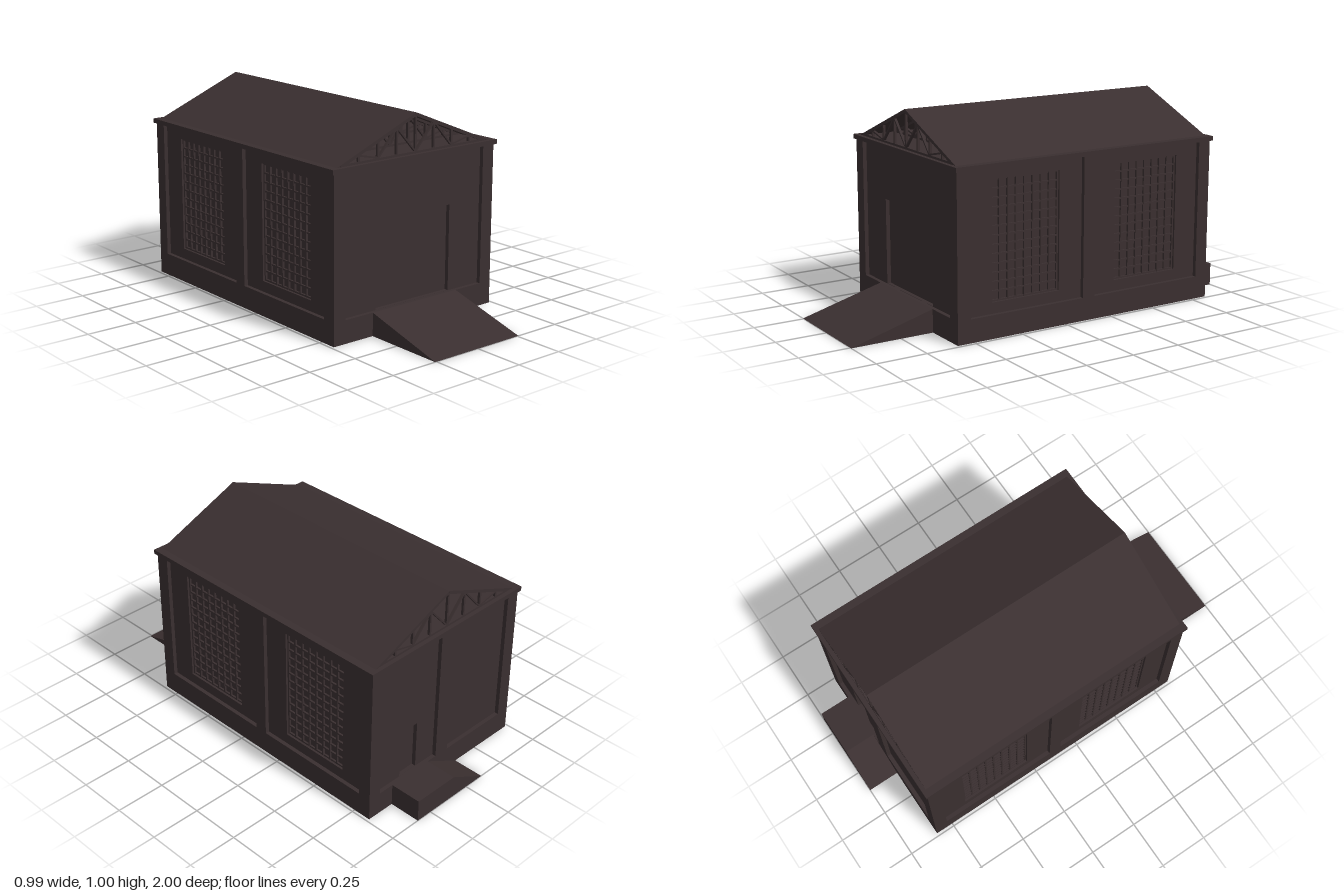
import * as THREE from 'three';

const wallMat = new THREE.MeshStandardMaterial({ color: 0x3a2f30, side: THREE.DoubleSide });
wallMat.name = 'dark brown';

const BASE = 0.112, EAVE = 0.79, HALF_X = 0.485, Z0 = -0.84, Z1 = 0.585;
const MID_Z = (Z0 + Z1) / 2, LEN = Z1 - Z0, INSET = 0.02;

function add(parent, name, geo) {
  const m = new THREE.Mesh(geo, wallMat);
  m.name = name;
  parent.add(m);
  return m;
}

// box given by its min and max corners
function box(parent, name, [x0, y0, z0], [x1, y1, z1]) {
  const geo = new THREE.BoxGeometry(x1 - x0, y1 - y0, z1 - z0);
  geo.translate((x0 + x1) / 2, (y0 + y1) / 2, (z0 + z1) / 2);
  return add(parent, name, geo);
}

function polygon(points) {
  return new THREE.Shape(points.map(([x, y]) => new THREE.Vector2(x, y)));
}

const rect = (x0, y0, x1, y1) => [[x0, y0], [x1, y0], [x1, y1], [x0, y1]];

function extrude(shape, depth) {
  return new THREE.ExtrudeGeometry(shape, { depth, bevelEnabled: false });
}

// drop the faces that point straight down, leaving a hollow shell
function openBottom(geo) {
  const flat = geo.index ? geo.toNonIndexed() : geo;
  const p = flat.attributes.position, n = flat.attributes.normal, keep = [];
  for (let i = 0; i < p.count; i += 3) if (n.getY(i) > -0.9) keep.push(i, i + 1, i + 2);
  flat.clearGroups();
  flat.setIndex(keep);
  return flat;
}

// recessed wall between piers, with openings backed by a sheet; local face at z = 0
function wall(name, x0, x1, openings) {
  const g = new THREE.Group();
  g.name = name;
  const shape = polygon(rect(x0, BASE, x1, EAVE));
  for (const o of openings) {
    const [a, b, c, d] = o.rect;
    shape.holes.push(polygon(rect(a, b, c, d).reverse()));
    box(g, o.name, [a, b, -2 * INSET - 0.004], [c, d, -2 * INSET]);
    if (o.name === 'windowPane') windowBars(g, a, b, c, d);
  }
  const panel = add(g, 'wallPanel', extrude(shape, INSET));
  panel.position.z = -2 * INSET;
  return g;
}

// glazing grid
function windowBars(g, x0, y0, x1, y1, cols = 8, rows = 13) {
  const t = 0.004, zb = -2 * INSET, zf = zb + 0.01;
  for (let i = 0; i <= cols; i++) {
    const x = THREE.MathUtils.lerp(x0 + t, x1 - t, i / cols);
    box(g, 'windowBarVertical', [x - t, y0, zb], [x + t, y1, zf]);
  }
  for (let j = 0; j <= rows; j++) {
    const y = THREE.MathUtils.lerp(y0 + t, y1 - t, j / rows);
    box(g, 'windowBarHorizontal', [x0, y - t, zb], [x1, y + t, zf - 0.001]);
  }
}

// straight truss member between two points
function member(g, name, [ax, ay], [bx, by], w) {
  const m = add(g, name, new THREE.BoxGeometry(Math.hypot(bx - ax, by - ay), w, 0.012));
  m.position.set((ax + bx) / 2, (ay + by) / 2, 0);
  m.rotation.z = Math.atan2(by - ay, bx - ax);
}

function truss() {
  const g = new THREE.Group();
  g.name = 'roofTruss';
  const top = x => 0.99 - Math.abs(x) * 0.409, low = 0.82;
  member(g, 'bottomChord', [-0.43, 0.817], [0.43, 0.817], 0.01);
  member(g, 'kingPost', [0, low], [0, top(0)], 0.01);
  for (const s of [-1, 1]) {
    member(g, 'topChord', [0, top(0)], [s * 0.435, top(0.435)], 0.013);
    for (const x of [0.112, 0.223, 0.335]) member(g, 'post', [s * x, low], [s * x, top(x)], 0.01);
    member(g, 'brace', [0, low], [s * 0.112, top(0.112)], 0.008);
    member(g, 'brace', [s * 0.223, low], [s * 0.112, top(0.112)], 0.008);
    member(g, 'brace', [s * 0.223, low + 0.003], [s * 0.335, top(0.335) - 0.004], 0.008);
  }
  return g;
}

export function createModel() {
  const model = new THREE.Group();
  model.name = 'warehouse';

  // hollow base whose top is the floor
  const base = add(model, 'base', openBottom(new THREE.BoxGeometry(2 * HALF_X, BASE, LEN)));
  base.position.set(0, BASE / 2, MID_Z);

  // piers
  for (const s of [-1, 1]) {
    const [xa, xb] = s > 0 ? [0.418, HALF_X] : [-HALF_X, -0.418];
    box(model, 'cornerPier', [xa, BASE, 0.517], [xb, EAVE, Z1]);
    box(model, 'cornerPier', [xa, BASE, Z0], [xb, EAVE, -0.775]);
    box(model, 'sidePier', [xa, BASE, -0.16], [xb, EAVE, -0.095]);
  }
  box(model, 'backPier', [-0.04, BASE, Z0], [0.04, EAVE, Z0 + 0.05]);

  // front and back walls
  const front = wall('frontWall', -0.418, 0.418,
    [{ name: 'largeDoor', rect: [-0.225, BASE + 0.001, 0.225, 0.533] }]);
  front.position.z = Z1;
  const back = wall('backWall', -0.418, 0.418,
    [{ name: 'smallDoor', rect: [-0.268, BASE + 0.001, -0.16, 0.36] }]);
  back.position.z = Z0;
  back.rotation.y = Math.PI;
  model.add(front, back);

  // side walls with two windows each
  for (const s of [-1, 1]) {
    const spans = [[0.03, 0.395], [-0.65, -0.285]].map(([a, b]) => (s > 0 ? [-b, -a] : [a, b]));
    const [a, b] = s > 0 ? [-0.517, 0.775] : [-0.775, 0.517];
    const side = wall(s > 0 ? 'leftWall' : 'rightWall', a, b,
      spans.map(([p, q]) => ({ name: 'windowPane', rect: [p, 0.165, q, 0.735] })));
    side.position.x = s * HALF_X;
    side.rotation.y = s * Math.PI / 2;
    model.add(side);
  }

  // cornice slab
  box(model, 'cornice', [-0.497, EAVE, Z0 - 0.01], [0.497, 0.812, Z1 + 0.01]);

  // roof sheets and trusses
  const roof = add(model, 'roof', extrude(polygon([
    [-0.46, 0.812], [-0.448, 0.812], [0, 0.995], [0.448, 0.812], [0.46, 0.812], [0, 1]]), 1.405));
  roof.position.z = -0.83;
  const frame = truss(), count = 9;
  for (let i = 0; i < count; i++) {
    const t = frame.clone();
    t.position.z = THREE.MathUtils.lerp(-0.823, 0.568, i / (count - 1));
    model.add(t);
  }

  // front ramp
  const rampGeo = extrude(polygon([[Z1, 0], [1, 0], [Z1, BASE]]), 0.516);
  rampGeo.translate(0, 0, -0.258);
  const ramp = add(model, 'frontRamp', openBottom(rampGeo));
  ramp.rotation.y = -Math.PI / 2;

  // back landing with a ramp along the wall
  const landing = add(model, 'backLanding', openBottom(extrude(
    polygon([[-0.11, 0], [0.335, 0], [0.335, BASE], [0.095, BASE]]), 1 + Z0)));
  landing.position.z = -1;

  return model;
}
